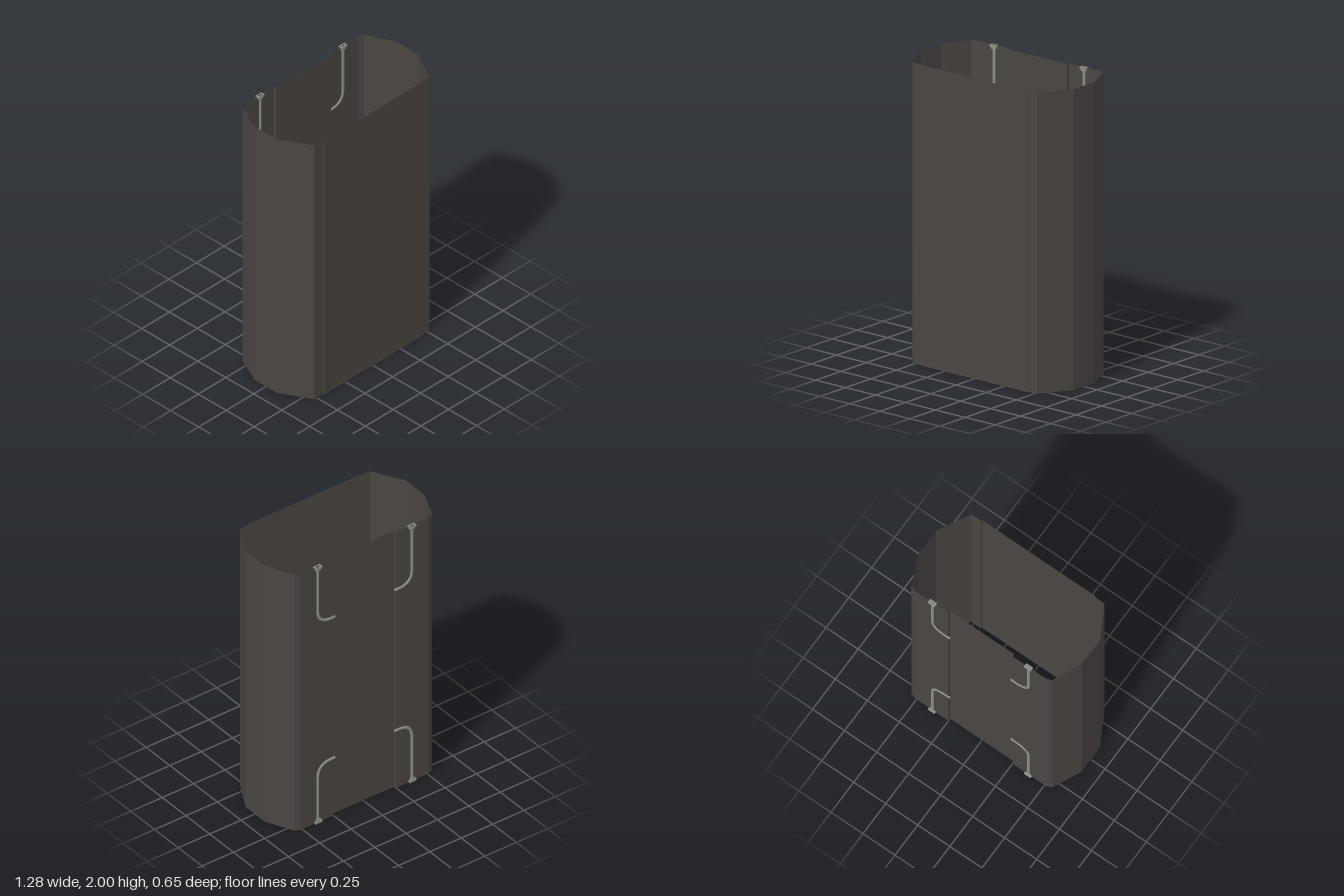
import * as THREE from 'three';

const H = 2;

// Open-ended wall swept straight up from a closed [x, z] outline, with flat facets
function wallGeometry(outline) {
  const pos = [];
  outline.forEach(([ax, az], i) => {
    const [bx, bz] = outline[(i + 1) % outline.length];
    pos.push(ax, 0, az, bx, H, bz, bx, 0, bz);
    pos.push(ax, 0, az, ax, H, az, bx, H, bz);
  });
  const g = new THREE.BufferGeometry();
  g.setAttribute('position', new THREE.Float32BufferAttribute(pos, 3));
  g.computeVertexNormals();
  return g;
}

export function createModel() {
  const group = new THREE.Group();
  const shellMat = new THREE.MeshStandardMaterial({ color: 0x4a4543, side: THREE.DoubleSide });
  shellMat.name = 'dark casing';
  const pipeMat = new THREE.MeshStandardMaterial({ color: 0x8e8e8a });
  pipeMat.name = 'grey metal';

  const add = (parent, geo, mat, name, x = 0, y = 0, z = 0) => {
    const m = new THREE.Mesh(geo, mat);
    m.name = name;
    m.position.set(x, y, z);
    parent.add(m);
    return m;
  };

  // Casing: half outline from front centre round the +x side to back centre, then mirrored
  const half = [
    [0.444, 0.325], [0.444, 0.317], [0.52, 0.317], [0.64, 0.1], [0.64, -0.1],
    [0.55, -0.297], [0.51, -0.313], [0.25, -0.313], [0.25, -0.295],
  ];
  const outline = [...half, ...half.map(([x, z]) => [-x, z]).reverse()];
  add(group, wallGeometry(outline), shellMat, 'casing');

  // Handle bar path: straight down from the rim, round a bend, in toward the middle
  const X = 0.375, END = 0.24, DROP = 0.45, R = 0.1;
  const v = (x, y) => new THREE.Vector3(x, y, 0);
  const path = new THREE.CurvePath();
  path.add(new THREE.LineCurve3(v(X, -0.01), v(X, -DROP + R)));
  path.add(new THREE.QuadraticBezierCurve3(v(X, -DROP + R), v(X, -DROP + 0.005), v(X - R, -DROP)));
  path.add(new THREE.LineCurve3(v(X - R, -DROP), v(END, -DROP)));
  const barGeo = new THREE.TubeGeometry(path, 40, 0.011, 8, false);
  barGeo.scale(1, 1, 0.7);
  const tipGeo = new THREE.SphereGeometry(0.011, 8, 6).scale(0.3, 1, 0.7);

  // Rim clip: a small rectangular collar with a socket
  const rect = (s, w, d) => {
    s.moveTo(-w, -d); s.lineTo(w, -d); s.lineTo(w, d); s.lineTo(-w, d); s.closePath();
    return s;
  };
  const collar = rect(new THREE.Shape(), 0.026, 0.014);
  collar.holes.push(rect(new THREE.Path(), 0.016, 0.008));
  const collarGeo = new THREE.ExtrudeGeometry(collar, { depth: 0.016, bevelEnabled: false });
  collarGeo.rotateX(Math.PI / 2);
  const neckGeo = new THREE.BoxGeometry(0.036, 0.022, 0.02);

  // Four bars, turned half a turn about z or y so that none is inside out
  for (const top of [true, false]) {
    for (const left of [true, false]) {
      const bar = new THREE.Group();
      bar.name = (top ? 'upper' : 'lower') + (left ? 'Left' : 'Right') + 'Bar';
      add(bar, barGeo, pipeMat, 'bentBar');
      add(bar, tipGeo, pipeMat, 'barTip', END);
      bar.children[1].position.y = -DROP;
      add(bar, collarGeo, pipeMat, 'rimClip', X);
      add(bar, neckGeo, pipeMat, 'clipNeck', X, -0.018);
      bar.position.set(0, top ? H : 0, -0.313);
      if (top && !left) bar.rotation.y = Math.PI;
      if (!top && left) bar.rotation.x = Math.PI;
      if (!top && !left) bar.rotation.z = Math.PI;
      group.add(bar);
    }
  }
  return group;
}
